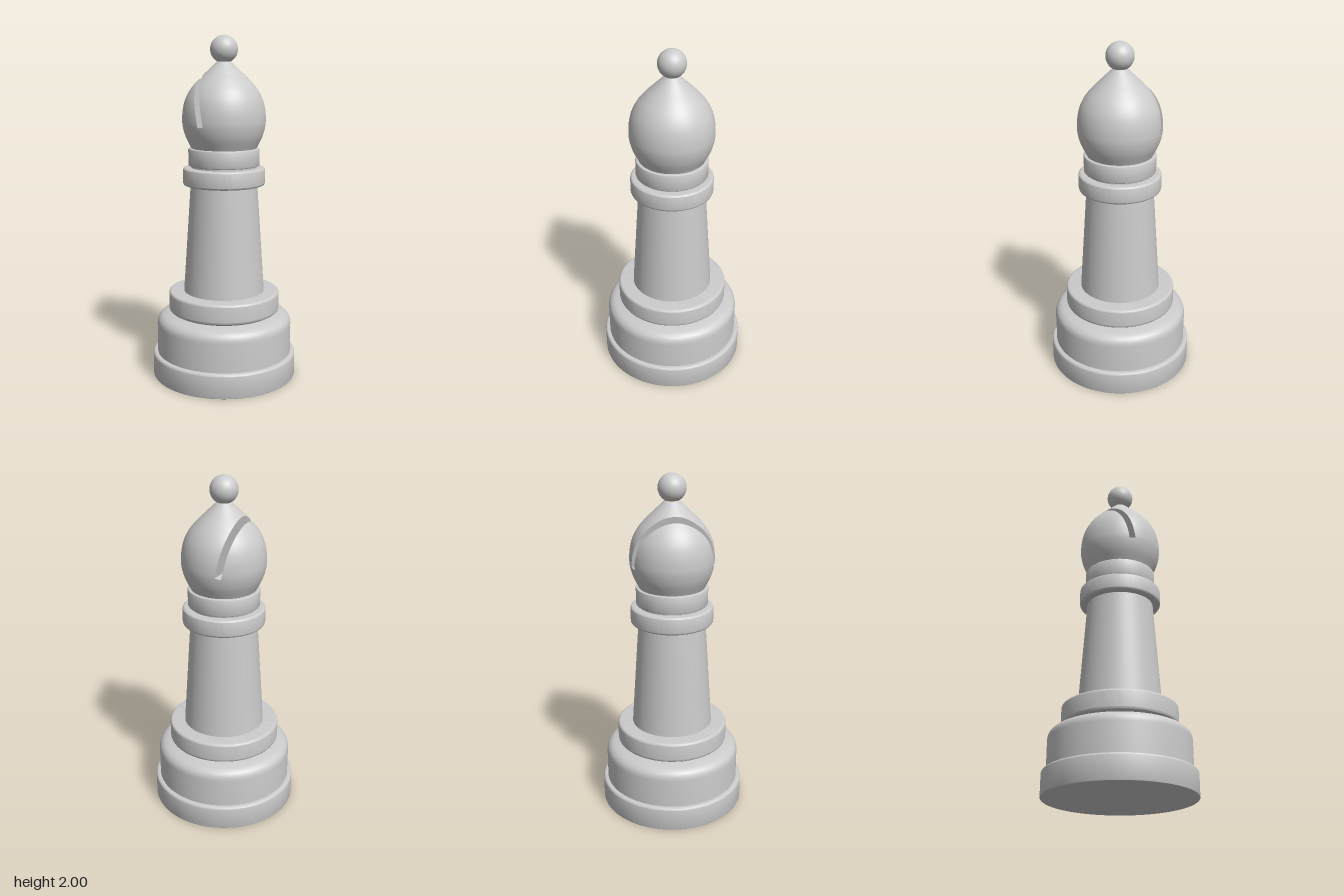
import * as THREE from 'three';
import { toCreasedNormals } from 'three/addons/utils/BufferGeometryUtils.js';

const SEGMENTS = 96;
const material = new THREE.MeshStandardMaterial({ color: 0xcccccc });
const slotMaterial = new THREE.MeshStandardMaterial({ color: 0xcccccc, side: THREE.DoubleSide });
const v2 = (x, y) => new THREE.Vector2(x, y);

function addMesh(group, name, geometry, mat = material) {
  const mesh = new THREE.Mesh(geometry, mat);
  mesh.name = name;
  group.add(mesh);
  return mesh;
}

// Closed turned part from [radius, y] corners; a third number rounds that corner.
function turned(corners) {
  const pts = [];
  corners.forEach(([r, y, round], i) => {
    const p = v2(r, y);
    if (!round) return pts.push(p);
    const toward = (q) => p.clone().add(v2(q[0], q[1]).sub(p).setLength(round));
    const curve = new THREE.QuadraticBezierCurve(toward(corners[i - 1]), p, toward(corners[i + 1]));
    pts.push(...curve.getPoints(8));
  });
  return toCreasedNormals(new THREE.LatheGeometry(pts, SEGMENTS), 0.6);
}

// Plain ring with rounded rims
const ring = (r, y0, y1, low, high) =>
  turned([[0, y0], [r, y0, low], [r, y1, high], [0, y1]]);

// Head outline: bulb running into a straight cone
const headProfile = new THREE.SplineCurve([
  [0.18, 1.345], [0.193, 1.37], [0.222, 1.43], [0.238, 1.49], [0.24, 1.54], [0.235, 1.59],
  [0.22, 1.645], [0.19, 1.70], [0.147, 1.75], [0.111, 1.785], [0.07, 1.824], [0.03, 1.862],
].map(([r, y]) => v2(r, y))).getPoints(66);

function headRadius(y) {
  for (let i = 1; i < headProfile.length; i++) {
    const a = headProfile[i - 1], b = headProfile[i];
    if (y <= b.y) return a.x + (b.x - a.x) * (y - a.y) / (b.y - a.y);
  }
  return 0;
}

// Slanted slot: up its length, across its width, and its two floor corners
const slotUp = v2(-0.19, 1).normalize();
const slotAcross = v2(slotUp.y, -slotUp.x);
const floorLeft = v2(-0.091, 1.49);
const floorRight = floorLeft.clone().addScaledVector(slotAcross, 0.035);

// Signed distances, positive outside the slot
const slotPlanes = [
  (p) => -((p[0] - floorLeft.x) * slotAcross.x + (p[1] - floorLeft.y) * slotAcross.y),
  (p) => (p[0] - floorRight.x) * slotAcross.x + (p[1] - floorRight.y) * slotAcross.y,
  (p) => -((p[0] - floorLeft.x) * slotUp.x + (p[1] - floorLeft.y) * slotUp.y),
];

// Part of a polygon on the positive side of a plane
function clip(poly, dist) {
  const out = [];
  poly.forEach((a, i) => {
    const b = poly[(i + 1) % poly.length], da = dist(a), db = dist(b);
    if (da >= 0) out.push(a);
    if ((da >= 0) !== (db >= 0)) out.push(a.map((v, k) => v + (b[k] - v) * da / (da - db)));
  });
  return out;
}

// Head skin with the slot cut away; corners carry position and smooth normal
function slottedHead() {
  const source = new THREE.LatheGeometry(headProfile, SEGMENTS).toNonIndexed();
  const pos = source.attributes.position, nor = source.attributes.normal;
  const positions = [], normals = [];
  const emit = (poly) => {
    for (let i = 2; i < poly.length; i++) {
      for (const c of [poly[0], poly[i - 1], poly[i]]) {
        positions.push(c[0], c[1], c[2]);
        normals.push(c[3], c[4], c[5]);
      }
    }
  };
  for (let i = 0; i < pos.count; i += 3) {
    let rest = [i, i + 1, i + 2].map((k) => [
      pos.getX(k), pos.getY(k), pos.getZ(k), nor.getX(k), nor.getY(k), nor.getZ(k)]);
    for (const dist of slotPlanes) {
      emit(clip(rest, dist));
      rest = clip(rest, (p) => -dist(p));
    }
  }
  const geometry = new THREE.BufferGeometry();
  geometry.setAttribute('position', new THREE.Float32BufferAttribute(positions, 3));
  geometry.setAttribute('normal', new THREE.Float32BufferAttribute(normals, 3));
  return geometry;
}

// Flat face through the head from front to back, following a line in x and y
function slotFace(start, direction, length, rows) {
  const positions = [], index = [];
  for (let i = 0; i <= rows; i++) {
    const p = start.clone().addScaledVector(direction, length * i / rows);
    const half = Math.sqrt(Math.max(0, headRadius(p.y) ** 2 - p.x ** 2));
    positions.push(p.x, p.y, -half, p.x, p.y, half);
    const a = i * 2;
    if (i < rows) index.push(a, a + 1, a + 2, a + 1, a + 3, a + 2);
  }
  const geometry = new THREE.BufferGeometry();
  geometry.setAttribute('position', new THREE.Float32BufferAttribute(positions, 3));
  geometry.setIndex(index);
  geometry.computeVertexNormals();
  return geometry;
}

// Distance along the slot until it leaves the head
function wallLength(start) {
  let t = 0;
  const p = start.clone();
  while (headRadius(p.y) > Math.abs(p.x)) {
    t += 0.0005;
    p.copy(start).addScaledVector(slotUp, t);
  }
  return t;
}

export function createModel() {
  const group = new THREE.Group();
  group.name = 'chessPiece';

  // Stepped foot
  addMesh(group, 'base', ring(0.427, 0, 0.143, 0.004, 0.018));
  addMesh(group, 'lowerTier', turned([
    [0, 0.13], [0.4, 0.13], [0.4, 0.362, 0.05], [0.29, 0.39], [0, 0.39]]));
  addMesh(group, 'upperTier', turned([
    [0, 0.385], [0.3, 0.385], [0.328, 0.4, 0.012], [0.328, 0.513, 0.018], [0, 0.513]]));

  // Tapering shaft and collars
  addMesh(group, 'shaft', turned([[0, 0.5], [0.239, 0.5], [0.194, 1.16], [0, 1.16]]));
  addMesh(group, 'collar', ring(0.239, 1.147, 1.25, 0.018, 0.018));
  addMesh(group, 'collarGap', ring(0.19, 1.24, 1.27, 0.002, 0.002));
  addMesh(group, 'neckRing', ring(0.207, 1.26, 1.362, 0.008, 0.008));

  // Slotted head
  const head = new THREE.Group();
  head.name = 'head';
  group.add(head);
  addMesh(head, 'headSkin', slottedHead());
  addMesh(head, 'slotLeftWall', slotFace(floorLeft, slotUp, wallLength(floorLeft), 48), slotMaterial);
  addMesh(head, 'slotRightWall', slotFace(floorRight, slotUp, wallLength(floorRight), 48), slotMaterial);
  addMesh(head, 'slotFloor', slotFace(floorLeft, slotAcross, 0.035, 4), slotMaterial);

  // Top ball
  const ball = addMesh(group, 'finial', new THREE.SphereGeometry(0.079, 48, 32));
  ball.position.y = 1.921;

  return group;
}
